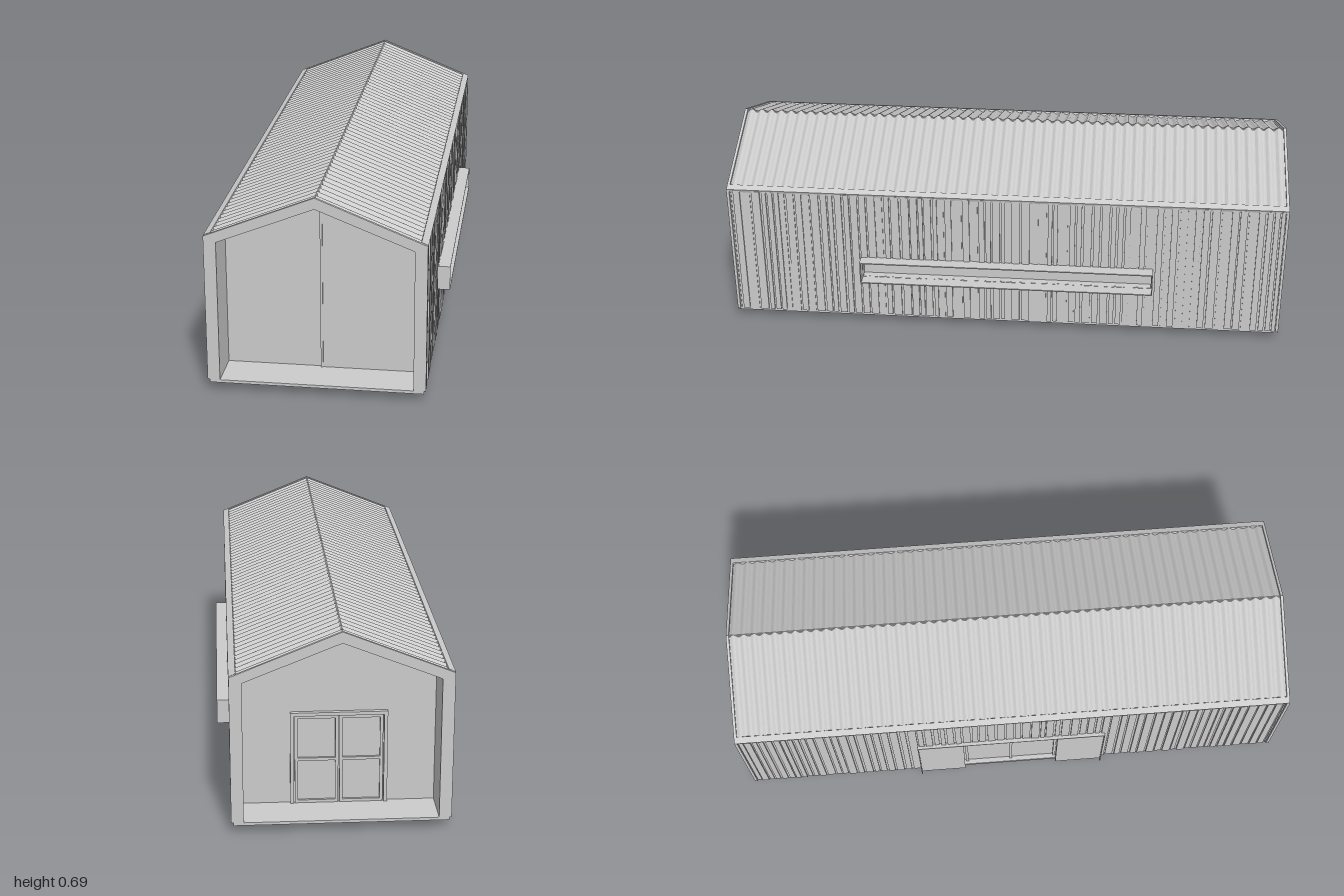
import * as THREE from 'three';

const material = new THREE.MeshStandardMaterial({ color: 0xcccccc, side: THREE.DoubleSide });

const SLOPE = Math.atan2(0.145, 0.36);

export function createModel() {
  const model = new THREE.Group();
  model.name = 'gabledCabin';
  const body = new THREE.Group();
  body.name = 'cabin';
  body.position.x = -0.015;
  model.add(body);

  const add = (name, geometry, parent = body) => {
    const mesh = new THREE.Mesh(geometry, material);
    mesh.name = name;
    parent.add(mesh);
    return mesh;
  };
  // Box given by its limits on each axis
  const box = (name, x0, x1, y0, y1, z0, z1, parent = body) => {
    const g = new THREE.BoxGeometry(x1 - x0, y1 - y0, z1 - z0);
    g.translate((x0 + x1) / 2, (y0 + y1) / 2, (z0 + z1) / 2);
    return add(name, g, parent);
  };
  const polygon = (pts) => new THREE.Shape(pts.map(([x, y]) => new THREE.Vector2(x, y)));
  const extrude = (shape, depth) => new THREE.ExtrudeGeometry(shape, { depth, bevelEnabled: false });
  const group = (name) => {
    const g = new THREE.Group();
    g.name = name;
    body.add(g);
    return g;
  };

  // Arch-shaped gable section, open at the bottom
  const arch = (half, eave, apex, bottom) => polygon([
    [-half, bottom], [-half, eave], [0, apex], [half, eave], [half, bottom],
    [0.319, bottom], [0.319, 0.525], [0, 0.652], [-0.319, 0.525], [-0.319, bottom],
  ]);

  // Roof structure and the trim around both open ends
  add('roofDeck', extrude(arch(0.353, 0.535, 0.678, 0.5), 1.99).translate(0, 0, -0.995));
  for (const z of [-1, 0.99]) {
    add('gableTrim', extrude(arch(0.36, 0.545, 0.69, 0.04), 0.01).translate(0, 0, z));
  }

  // Corrugated sheets, one for each slope
  const waves = 54, steps = 8, halfLength = 0.992;
  const profile = [[-halfLength, -0.014]];
  for (let i = 0; i <= waves * steps; i++) {
    const z = -halfLength + (2 * halfLength * i) / (waves * steps);
    profile.push([z, -0.0045 - 0.0045 * Math.cos((i / steps) * Math.PI * 2)]);
  }
  profile.push([halfLength, -0.014]);
  for (const turn of [0, Math.PI]) {
    const sheet = extrude(polygon(profile), 0.338 / Math.cos(SLOPE));
    sheet.rotateY(-Math.PI / 2).rotateZ(SLOPE).translate(0, 0.69, 0).rotateY(turn);
    add('corrugatedRoof', sheet);
    const strip = new THREE.BoxGeometry(0.024, 0.014, 1.98);
    strip.rotateZ(SLOPE).translate(-0.347, 0.5435, 0).rotateY(turn);
    add('eaveTrim', strip);
  }

  // Side walls with an opening, clad in boards of varied width and depth
  let seed = 7;
  const random = () => (seed = (seed * 16807) % 2147483647) / 2147483647;
  const sideWall = (side, z0, z1, y0, y1) => {
    const g = group(side > 0 ? 'windowSide' : 'doorSide');
    const shape = polygon([[-0.995, 0.04], [0.995, 0.04], [0.995, 0.5], [-0.995, 0.5]]);
    shape.holes.push(polygon([[z0, y0], [z0, y1], [z1, y1], [z1, y0]]));
    const wall = extrude(shape, 0.034).rotateY(-Math.PI / 2);
    add('wallCore', wall.translate(side > 0 ? 0.353 : -0.319, 0, 0), g);
    const board = (a, b, low, high, depth) => {
      const outer = 0.352 + depth;
      box('claddingBoard', side > 0 ? 0.35 : -outer, side > 0 ? outer : -0.35, low, high, a, b, g);
    };
    for (let z = -0.988; z < 0.985;) {
      const end = Math.min(z + 0.014 + 0.016 * random(), 0.988);
      const depth = 0.004 + 0.004 * random();
      if (end <= z0 || z >= z1) board(z, end, 0.04, 0.54, depth);
      else {
        board(z, end, y1, 0.54, depth);
        if (y0 > 0.06) board(z, end, 0.04, y0, depth);
        if (z < z0) board(z, z0, y0, y1, depth);
        if (end > z1) board(z1, end, y0, y1, depth);
      }
      z = end + 0.004 + 0.004 * random();
    }
    return g;
  };

  // Long projecting window box on the right
  const win = sideWall(1, -0.53, 0.52, 0.202, 0.278);
  for (const y of [0.197, 0.279]) box('windowShelf', 0.322, 0.4, y, y + 0.004, -0.535, 0.525, win);
  for (const z of [-0.535, 0.521]) box('windowCheek', 0.322, 0.4, 0.197, 0.283, z, z + 0.004, win);
  box('windowGlass', 0.324, 0.33, 0.2, 0.28, -0.533, 0.523, win);

  // Wide doorway on the left, with panels beside the glazing
  const door = sideWall(-1, -0.352, 0.338, 0.042, 0.335);
  for (const z of [-0.356, 0.338]) box('doorwayJamb', -0.37, -0.323, 0, 0.338, z, z + 0.004, door);
  box('doorwayHead', -0.37, -0.323, 0.334, 0.338, -0.356, 0.342, door);
  box('doorGlass', -0.338, -0.332, 0.04, 0.335, -0.352, 0.338, door);
  box('doorSill', -0.356, -0.32, 0.03, 0.044, -0.352, 0.338, door);
  for (const [a, b] of [[-0.352, -0.185], [0.165, 0.338]]) {
    box('sidePanel', -0.366, -0.352, 0.026, 0.333, a, b, door);
  }
  for (const z of [-0.18, -0.012, 0.155]) box('doorStile', -0.345, -0.332, 0.04, 0.335, z, z + 0.01, door);

  // Recessed walls at both ends
  const gable = (inset) => polygon([
    [-0.32, 0.04], [0.32, 0.04], [0.32, 0.526 - inset], [0, 0.653 - inset], [-0.32, 0.526 - inset],
  ]);
  add('frontGlazing', extrude(gable(0), 0.02).translate(0, 0, 0.835));
  const slider = polygon([[0, 0.04], [0.318, 0.04], [0.318, 0.525], [0, 0.651]]);
  add('frontSlidingPanel', extrude(slider, 0.006).translate(0, 0, 0.855));
  box('frontMullion', -0.004, 0.004, 0.04, 0.65, 0.85, 0.865);
  add('backWall', extrude(gable(0), 0.02).translate(0, 0, -0.855));

  // Paned double door in the back wall
  const rear = group('backDoor');
  const bar = (name, x0, x1, y0, y1, out) => box(name, x0, x1, y0, y1, -0.855 - out, -0.85, rear);
  for (const s of [-1, 1]) {
    bar('frameSide', s * 0.155 - 0.006, s * 0.155 + 0.006, 0.04, 0.365, 0.014);
    bar('leafStile', s * 0.141 - 0.005, s * 0.141 + 0.005, 0.04, 0.352, 0.008);
    bar('meetingStile', s * 0.007 - 0.005, s * 0.007 + 0.005, 0.04, 0.352, 0.008);
    const [a, b] = s > 0 ? [0.012, 0.136] : [-0.136, -0.012];
    for (const y of [0.04, 0.192, 0.342]) bar('leafRail', a, b, y, y + 0.01, 0.008);
  }
  bar('frameHead', -0.161, 0.161, 0.353, 0.365, 0.014);

  // Floor slab, with a ribbed porch deck at the back
  box('floorSlab', -0.353, 0.353, 0.03, 0.04, -0.84, 1);
  const porch = group('backPorch');
  box('porchDeck', -0.353, 0.353, 0.037, 0.04, -1, -0.84, porch);
  for (let i = 0; i <= 9; i++) {
    const x = -0.353 + (i * 0.7) / 9;
    box('porchJoist', x, x + 0.006, 0.03, 0.037, -1, -0.84, porch);
  }
  for (let i = 0; i <= 3; i++) {
    const z = -1 + i * 0.0513;
    box('porchCrossJoist', -0.353, 0.353, 0.03, 0.037, z, z + 0.006, porch);
  }

  // Plates and door track under the floor
  for (const [a, b] of [[-0.64, -0.295], [-0.095, 0.25]]) {
    box('underfloorPlate', -0.105, -0.048, 0.026, 0.031, a, b);
  }
  box('frontDoorTrack', 0, 0.318, 0.028, 0.031, 0.837, 0.847);

  return model;
}
